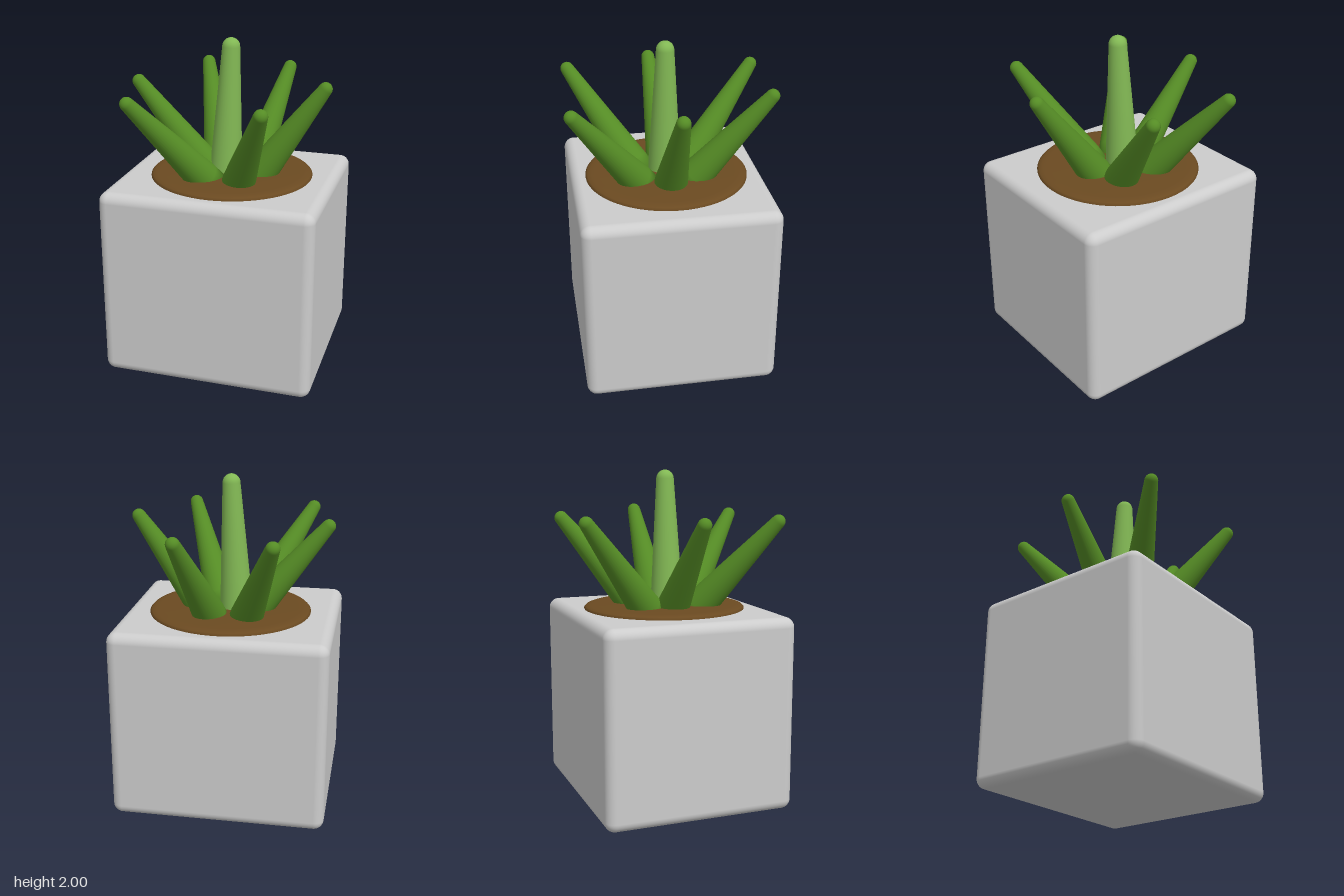
import * as THREE from 'three';
import { RoundedBoxGeometry } from 'three/addons/geometries/RoundedBoxGeometry.js';

const material = (name, color) => {
  const m = new THREE.MeshStandardMaterial({ color });
  m.name = name;
  return m;
};

// Tapered leaf with a round tip, running from base to tip (tip = centre of its round end)
function makeLeaf(name, base, tip, baseRadius, tipRadius, mat) {
  const start = new THREE.Vector3(...base);
  const axis = new THREE.Vector3(...tip).sub(start);
  const length = axis.length();
  axis.normalize();
  const buried = 0.1; // root hidden in the soil
  const profile = [
    new THREE.Vector2(0, -buried),
    new THREE.Vector2(baseRadius, -buried),
    new THREE.Vector2(baseRadius, 0),
  ];
  for (let i = 0; i <= 8; i++) {
    const a = (i / 8) * Math.PI / 2;
    profile.push(new THREE.Vector2(i === 8 ? 0 : tipRadius * Math.cos(a), length + tipRadius * Math.sin(a)));
  }
  const leaf = new THREE.Mesh(new THREE.LatheGeometry(profile, 32), mat);
  leaf.name = name;
  leaf.position.copy(start);
  leaf.quaternion.setFromUnitVectors(new THREE.Vector3(0, 1, 0), axis);
  return leaf;
}

export function createModel() {
  const group = new THREE.Group();
  group.name = 'pottedSucculent';
  const potGrey = material('pot grey', 0xcccccc);
  const soilBrown = material('soil brown', 0x6b4a21);
  const leafGreen = material('leaf green', 0x558c25);
  const youngGreen = material('young leaf green', 0x82b854);

  // Pot
  const pot = new THREE.Mesh(new RoundedBoxGeometry(1.285, 1.165, 1.16, 6, 0.06), potGrey);
  pot.name = 'pot';
  pot.position.y = 0.5825;
  group.add(pot);

  // Soil disc with a soft rim
  const rim = [[0.492, 1.15], [0.492, 1.17], [0.482, 1.18], [0.46, 1.187], [0.42, 1.19], [0, 1.19]];
  const soil = new THREE.Mesh(
    new THREE.LatheGeometry(rim.map(([r, y]) => new THREE.Vector2(r, y)), 64), soilBrown);
  soil.name = 'soil';
  soil.position.x = 0.008;
  group.add(soil);

  // Outer leaves: name, base, tip
  const leaves = [
    ['leftLeaf', [0.19, 1.19, 0.0], [0.57, 1.73, 0.0]],
    ['rightLeaf', [-0.15, 1.19, 0.0], [-0.575, 1.705, 0.02]],
    ['frontLeftLeaf', [0.11, 1.19, 0.2], [0.336, 1.705, 0.58]],
    ['frontRightLeaf', [-0.12, 1.19, 0.19], [-0.44, 1.705, 0.545]],
    ['backLeftLeaf', [0.11, 1.19, -0.17], [0.225, 1.712, -0.585]],
    ['backRightLeaf', [-0.12, 1.19, -0.17], [-0.322, 1.712, -0.585]],
  ];
  for (const [name, base, tip] of leaves) {
    group.add(makeLeaf(name, base, tip, 0.1, 0.041, leafGreen));
  }

  // Upright centre leaf
  group.add(makeLeaf('centreLeaf', [-0.028, 1.19, 0.005], [0.004, 1.947, 0.005], 0.1, 0.053, youngGreen));
  return group;
}
